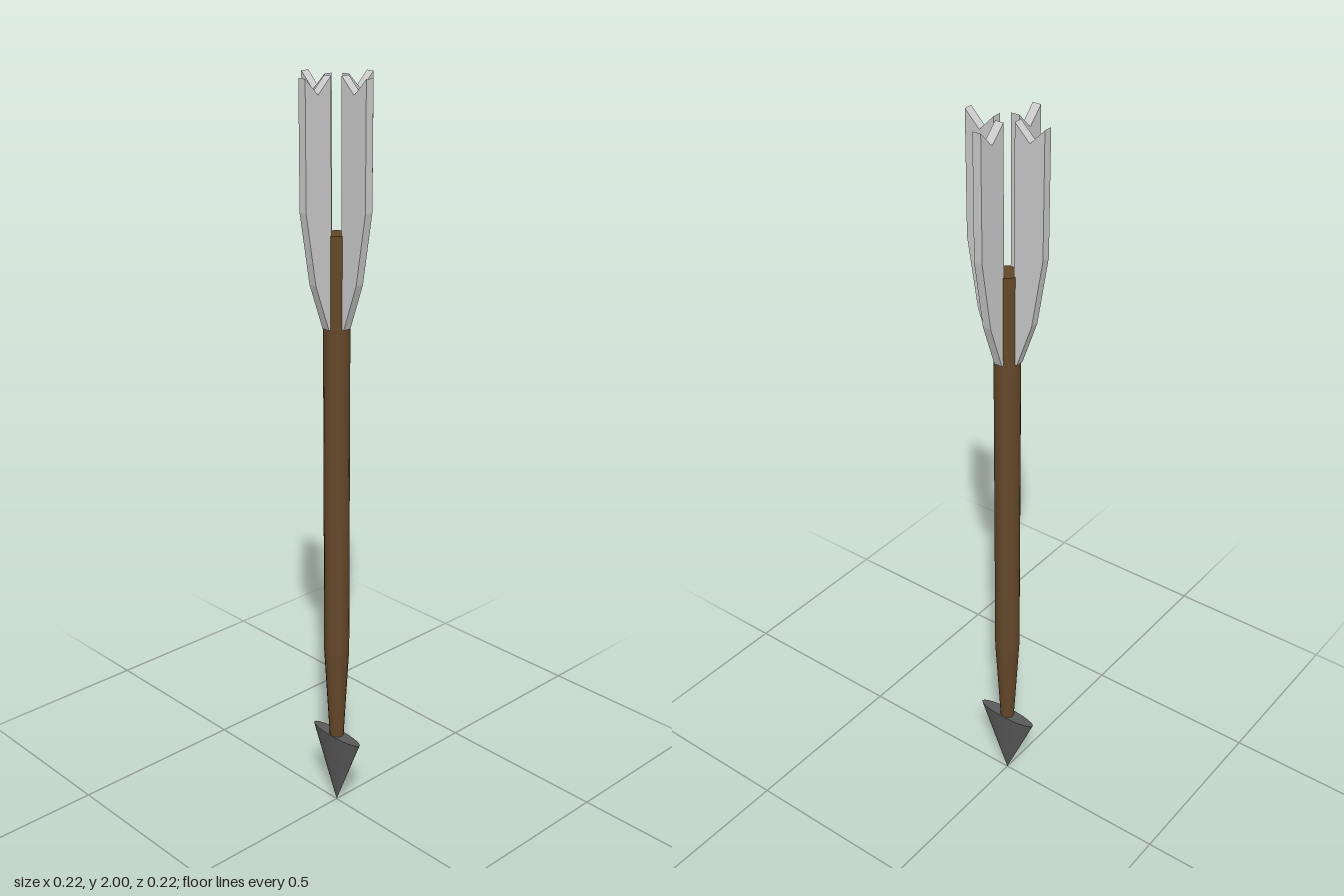
import * as THREE from 'three';

export function createModel() {
  const arrow = new THREE.Group();
  arrow.name = 'arrow';
  const material = (name, color, flatShading = false) => {
    const m = new THREE.MeshStandardMaterial({ color, flatShading });
    m.name = name;
    return m;
  };
  const wood = material('brown wood', 0x64482a);
  const iron = material('dark iron', 0x5a5a5a);
  const feather = material('pale feather', 0xcccccc, true);

  const add = (name, geometry, mat) => {
    const mesh = new THREE.Mesh(geometry, mat);
    mesh.name = name;
    arrow.add(mesh);
    return mesh;
  };

  // Shaft: straight upper length and a taper down to the head
  const SIDES = 16;
  add('shaft', new THREE.CylinderGeometry(0.034, 0.034, 1.145, SIDES).translate(0, 1.0525, 0), wood);
  add('shaftTaper', new THREE.CylinderGeometry(0.034, 0.019, 0.27, SIDES, 1, true).translate(0, 0.345, 0), wood);

  // Arrowhead: inverted cone flattened across x
  add('arrowhead', new THREE.CylinderGeometry(0.09, 0, 0.215, 24)
    .translate(0, 0.1075, 0).scale(0.22, 1, 1), iron);

  // Four notched fins around the top
  const outline = [[0.028, 1.39], [0.037, 1.39], [0.08, 1.51], [0.11, 1.69],
    [0.11, 2], [0.07, 1.96], [0.029, 2]];
  const shape = new THREE.Shape(outline.map(([x, y]) => new THREE.Vector2(x, y)));
  const finGeometry = new THREE.ExtrudeGeometry(shape, { depth: 0.023, bevelEnabled: false })
    .translate(0, 0, -0.0115);
  for (let i = 0; i < 4; i++) {
    add('fin' + (i + 1), finGeometry, feather).rotation.y = i * Math.PI / 2;
  }
  return arrow;
}
